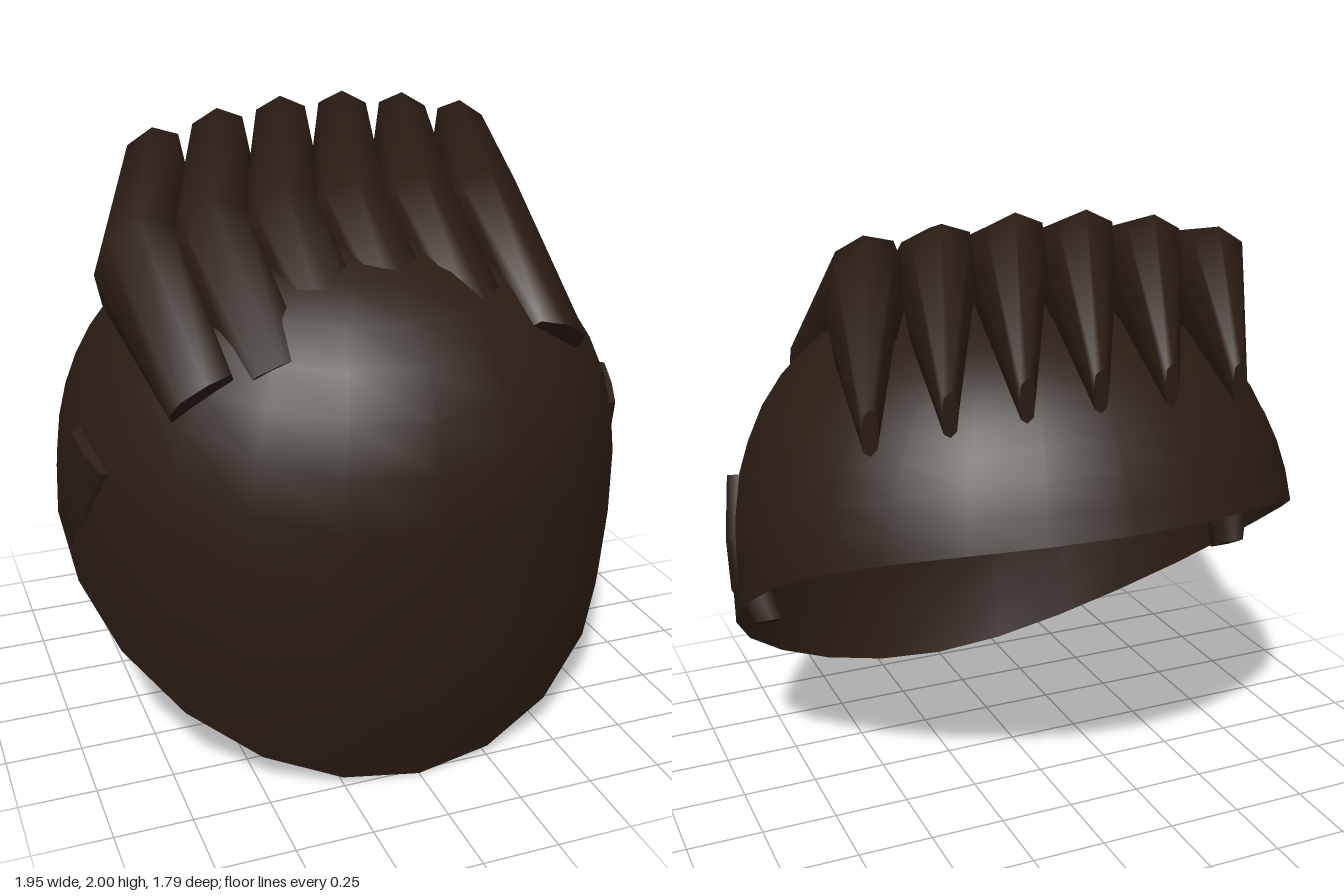
import * as THREE from 'three';

const material = new THREE.MeshStandardMaterial({ color: 0x2a1c13, side: THREE.DoubleSide });

function makeGeometry(positions, indices) {
  const g = new THREE.BufferGeometry();
  g.setAttribute('position', new THREE.Float32BufferAttribute(positions, 3));
  g.setIndex(indices);
  g.computeVertexNormals();
  return g;
}

function addMesh(parent, geometry, name) {
  const mesh = new THREE.Mesh(geometry, material);
  mesh.name = name;
  parent.add(mesh);
  return mesh;
}

// Closed eight-sided tube through stations { c: centre, u, v: half axes }, u x v pointing back along the path
function loft(stations, square) {
  const sides = 8, pos = [], idx = [];
  const ring = ({ c, u, v }) => {
    for (let j = 0; j < sides; j++) {
      const a = (j / sides) * Math.PI * 2;
      const k = j % 2 ? square : 1;
      pos.push(...c.map((p, i) => p + k * (u[i] * Math.cos(a) + v[i] * Math.sin(a))));
    }
  };
  stations.forEach(ring);
  for (let i = 0; i < stations.length - 1; i++) {
    for (let j = 0; j < sides; j++) {
      const a = i * sides + j, b = i * sides + ((j + 1) % sides);
      idx.push(a, a + sides, b, b, a + sides, b + sides);
    }
  }
  // end caps with their own vertices
  [stations[0], stations[stations.length - 1]].forEach((s, end) => {
    const base = pos.length / 3;
    ring(s);
    for (let j = 1; j < sides - 1; j++) {
      if (end) idx.push(base, base + j + 1, base + j);
      else idx.push(base, base + j, base + j + 1);
    }
  });
  return makeGeometry(pos, idx);
}

// Rounded cap: meridians run from the crown down to a slanted, arched rim
function capGeometry() {
  const columns = 24, rings = 12, power = 2.3, midY = 0.74, above = 0.96, below = 1.28;
  const pos = [], idx = [];
  for (let k = 0; k < columns; k++) {
    const a = (k / columns) * Math.PI * 2;
    const rimY = 0.56 - 0.56 * Math.cos(a) + 0.17 * Math.sin(a) ** 2;
    const rimZ = -0.06 + 0.83 * Math.cos(a);
    const azimuth = Math.atan2(Math.sin(a), rimZ / (rimZ > 0 ? 0.89 : 0.94));
    const h = (rimY - midY) / (rimY > midY ? above : below);
    const end = Math.acos(Math.sign(h) * Math.abs(h) ** (power / 2));
    for (let i = 0; i <= rings; i++) {
      const phi = (end * i) / rings, c = Math.cos(phi);
      const r = Math.sin(phi) ** (2 / power);
      const y = midY + Math.sign(c) * Math.abs(c) ** (2 / power) * (c > 0 ? above : below);
      // the forehead stays full towards the top
      const depth = rimZ > 0 ? 0.89 + 0.1 * Math.max(0, y - midY) : 0.94;
      pos.push(0.975 * r * Math.sin(azimuth), y, depth * r * Math.cos(azimuth));
      if (i < rings) {
        const p = k * (rings + 1) + i, q = ((k + 1) % columns) * (rings + 1) + i;
        idx.push(p, p + 1, q + 1);
        if (i > 0) idx.push(p, q + 1, q);
      }
    }
  }
  const g = makeGeometry(pos, idx);
  // the crown is shared by all meridians, so its normal is straight up
  for (let k = 0; k < columns; k++) g.attributes.normal.setXYZ(k * (rings + 1), 0, 1, 0);
  return g;
}

// One bent lock, from front tip over two bends to the thin back tip
// dx, y, z: centre; w: half width; vy, vz: half height direction
// drop: fall towards the sides; roll: outward tilt of the section
const lockStations = [
  { dx: -0.13, y: 1.385, z: 0.565, w: 0.1, vy: 0.065, vz: 0.075, drop: 0.13, roll: 0.7 },
  { dx: -0.22, y: 1.7, z: 0.19, w: 0.13, vy: 0.15, vz: 0.06, drop: 0.1, roll: 0.25 },
  { dx: 0, y: 1.82, z: -0.44, w: 0.115, vy: 0.185, vz: -0.02, drop: 0.22, roll: 0.3 },
  { dx: 0.11, y: 1.54, z: -0.8, w: 0.025, vy: 0.065, vz: 0, drop: 0.1, roll: 0.2 },
];

function lockGeometry(x0) {
  return loft(lockStations.map(({ dx, y, z, w, vy, vz, drop, roll }) => {
    const x = x0 + dx;
    return { c: [x, y - drop * (x - 0.13) ** 2, z], u: [w, -roll * x * w, 0], v: [0, vy, vz] };
  }), 1.1);
}

export function createModel() {
  const model = new THREE.Group();
  model.name = 'hair';

  addMesh(model, capGeometry(), 'cap');

  // six parallel locks across the top
  const locks = new THREE.Group();
  locks.name = 'locks';
  model.add(locks);
  for (let i = 0; i < 6; i++) addMesh(locks, lockGeometry(-0.5 + i * 0.23), `lock${i + 1}`);

  // small side tufts sunk into the cap, mirrored left and right
  const tuft = loft([
    { c: [0.88, 1.06, 0.245], u: [-0.03, -0.045, 0.1], v: [0.05, 0, 0.015] },
    { c: [0.92, 0.88, 0.155], u: [-0.015, -0.04, 0.085], v: [0.05, 0, 0.01] },
    { c: [0.92, 0.74, 0.075], u: [0, -0.04, 0.07], v: [0.055, 0, 0] },
    { c: [0.88, 0.63, 0], u: [0, -0.03, 0.055], v: [0.045, 0, 0] },
  ], 1.25);
  addMesh(model, tuft, 'leftTuft');
  addMesh(model, tuft, 'rightTuft').scale.x = -1;

  return model;
}
